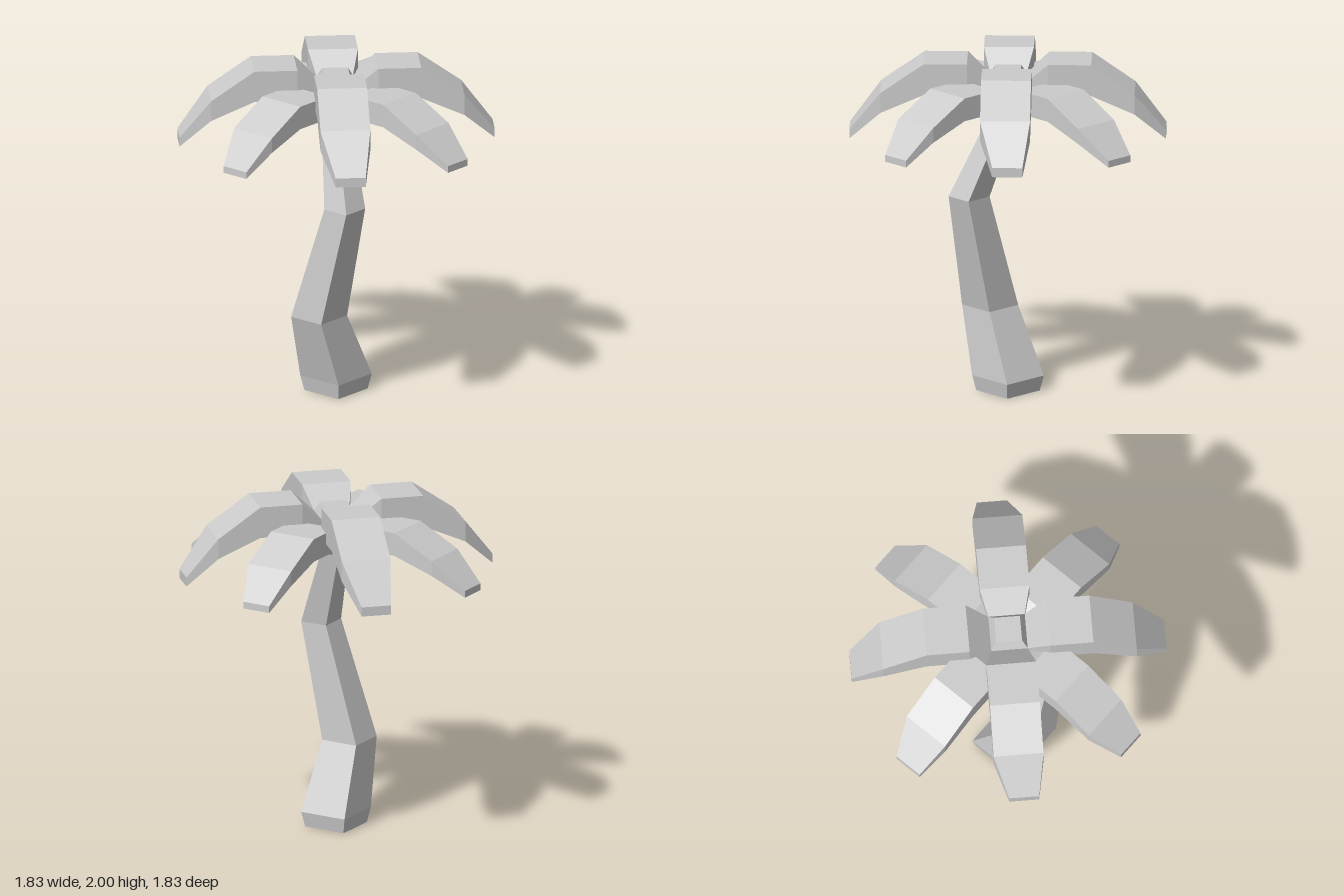
import * as THREE from 'three';

const material = new THREE.MeshStandardMaterial({ color: 0xcccccc, flatShading: true });

// Skin a list of four-cornered rings and close both ends
function loft(rings) {
  const index = [];
  const quad = (a, b, c, d) => index.push(a, b, c, a, c, d);
  for (let s = 0; s < rings.length - 1; s++) {
    for (let i = 0; i < 4; i++) {
      const j = (i + 1) % 4, a = s * 4, b = a + 4;
      quad(a + i, a + j, b + j, b + i);
    }
  }
  const e = (rings.length - 1) * 4;
  quad(0, 3, 2, 1);
  quad(e, e + 1, e + 2, e + 3);
  const indexed = new THREE.BufferGeometry();
  indexed.setAttribute('position', new THREE.Float32BufferAttribute(rings.flat(2), 3));
  indexed.setIndex(index);
  const geometry = indexed.toNonIndexed();
  geometry.computeVertexNormals();
  return geometry;
}

function addMesh(parent, name, geometry) {
  const mesh = new THREE.Mesh(geometry, material);
  mesh.name = name;
  parent.add(mesh);
  return mesh;
}

// Crooked square trunk: height, centre x, centre z, half width
function trunkGeometry() {
  const sections = [
    [0, 0, 0, 0.13],
    [0.09, 0, 0, 0.147],
    [0.485, 0, 0.15, 0.115],
    [1.175, 0.183, 0.135, 0.084],
    [1.73, -0.01, 0, 0.056],
  ];
  return loft(sections.map(([y, x, z, h]) => [
    [x - h, y, z + h], [x + h, y, z + h], [x + h, y, z - h], [x - h, y, z - h],
  ]));
}

// Drooping frond along +z: distance, left x, right x, underside y, top y (above the tip)
function frondGeometry() {
  const sections = [
    [0.106, -0.106, 0.106, 0.175, 0.34],
    [0.235, -0.145, 0.145, 0.275, 0.46],
    [0.485, -0.145, 0.145, 0.275, 0.46],
    [0.737, -0.145, 0.145, 0.165, 0.285],
    [0.917, -0.07, 0.105, 0, 0.055],
  ];
  return loft(sections.map(([z, x0, x1, y0, y1]) => [
    [x0, y0, z], [x1, y0, z], [x1, y1, z], [x0, y1, z],
  ]));
}

export function createModel() {
  const palm = new THREE.Group();
  palm.name = 'palmTree';

  addMesh(palm, 'trunk', trunkGeometry());

  // Crown hub: tapered diamond block that the fronds grow from
  const hub = new THREE.Group();
  hub.name = 'crownHub';
  palm.add(hub);
  addMesh(hub, 'hubCap', new THREE.CylinderGeometry(0.107, 0.15, 0.06, 4)).position.y = 1.91;
  addMesh(hub, 'hubBase', new THREE.CylinderGeometry(0.15, 0.15, 0.19, 4)).position.y = 1.785;

  // Eight fronds, alternating flatter (straight) and taller (diagonal)
  const geometry = frondGeometry();
  for (let i = 0; i < 8; i++) {
    const frond = addMesh(palm, i % 2 ? 'upperFrond' : 'lowerFrond', geometry);
    frond.position.y = 1.54;
    frond.rotation.y = i * Math.PI / 4;
    frond.scale.y = i % 2 ? 1 : 0.74;
  }
  return palm;
}
